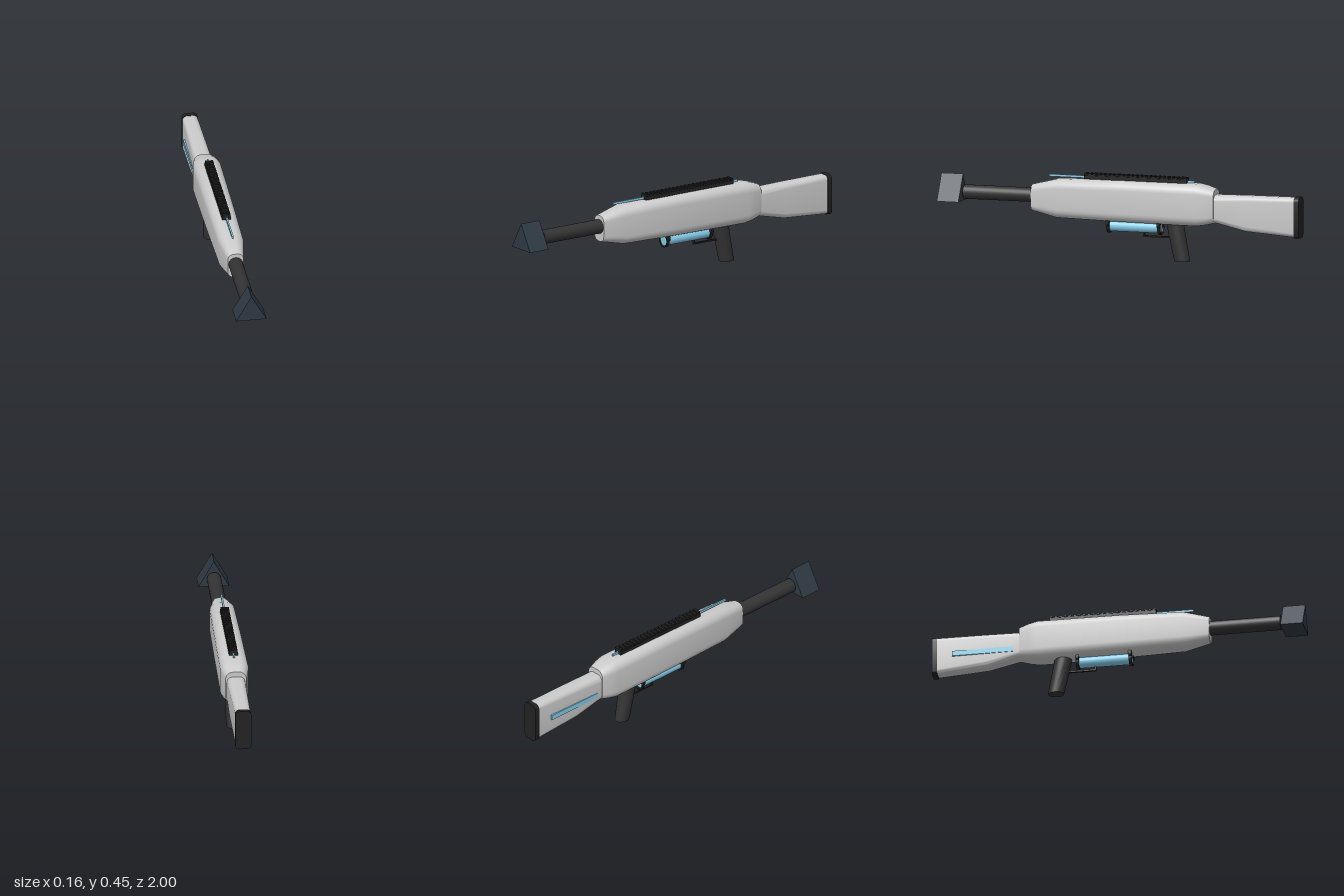
import * as THREE from 'three';
import { toCreasedNormals } from 'three/addons/utils/BufferGeometryUtils.js';

const mat = (color) => new THREE.MeshStandardMaterial({ color });

// Rounded-rectangle outline, counter-clockwise seen from the front
function outline(halfW, y0, y1, r, steps = 6) {
  const pts = [];
  const corners = [[halfW - r, y1 - r], [r - halfW, y1 - r], [r - halfW, y0 + r], [halfW - r, y0 + r]];
  corners.forEach(([cx, cy], q) => {
    for (let i = 0; i <= steps; i++) {
      const a = (q + i / steps) * Math.PI / 2;
      pts.push([cx + r * Math.cos(a), cy + r * Math.sin(a)]);
    }
  });
  return pts;
}

// Closed loft through sections [z, halfWidth, yBottom, yTop, cornerRadius], listed front to back
function loft(sections) {
  const pos = [], idx = [];
  const rings = sections.map(([z, w, y0, y1, r]) => outline(w, y0, y1, r).map(([x, y]) => [x, y, z]));
  const n = rings[0].length;
  rings.forEach((ring) => ring.forEach((p) => pos.push(...p)));
  for (let s = 0; s < rings.length - 1; s++) {
    for (let i = 0; i < n; i++) {
      const j = (i + 1) % n, a = s * n, b = a + n;
      idx.push(a + i, b + i, b + j, a + i, b + j, a + j);
    }
  }
  const addCap = (s, front) => {
    const [z, , y0, y1] = sections[s], c = pos.length / 3;
    pos.push(0, (y0 + y1) / 2, z);
    for (let i = 0; i < n; i++) {
      const a = s * n + i, b = s * n + (i + 1) % n;
      idx.push(c, front ? a : b, front ? b : a);
    }
  };
  addCap(0, true);
  addCap(sections.length - 1, false);
  const geo = new THREE.BufferGeometry();
  geo.setAttribute('position', new THREE.Float32BufferAttribute(pos, 3));
  geo.setIndex(idx);
  return toCreasedNormals(geo, 0.6);
}

export function createModel() {
  const model = new THREE.Group();
  const grey = mat(0xcccccc), dark = mat(0x333333), black = mat(0x222222);
  const blue = mat(0x87ceeb), slate = mat(0x2f3a44);

  const add = (name, geo, material, x = 0, y = 0, z = 0, parent = model) => {
    const mesh = new THREE.Mesh(geo, material);
    mesh.name = name;
    mesh.position.set(x, y, z);
    parent.add(mesh);
    return mesh;
  };
  const box = (name, w, h, d, material, x, y, z, parent) =>
    add(name, new THREE.BoxGeometry(w, h, d), material, x, y, z, parent);

  // Main housing, tapered at both ends
  add('body', loft([
    [0.49, 0.042, 0.235, 0.375, 0.032],
    [0.35, 0.067, 0.204, 0.41, 0.048],
    [0.0, 0.072, 0.197, 0.418, 0.05],
    [-0.43, 0.076, 0.194, 0.418, 0.05],
    [-0.48, 0.068, 0.202, 0.408, 0.045],
    [-0.53, 0.055, 0.214, 0.392, 0.038],
  ]), grey);

  // Shoulder stock and its butt pad
  add('stock', loft([
    [-0.5, 0.049, 0.22, 0.364, 0.03],
    [-0.55, 0.049, 0.212, 0.364, 0.03],
    [-0.7, 0.046, 0.177, 0.367, 0.028],
    [-0.975, 0.041, 0.157, 0.369, 0.024],
  ]), grey);
  add('buttPad', loft([
    [-0.973, 0.043, 0.153, 0.371, 0.024],
    [-1.0, 0.043, 0.153, 0.371, 0.024],
  ]), black);
  box('stockStrip', 0.012, 0.028, 0.33, blue, -0.045, 0.262, -0.725);

  // Barrel and triangular muzzle
  add('barrel', new THREE.CylinderGeometry(0.038, 0.038, 0.42, 32).rotateX(Math.PI / 2), dark, 0, 0.316, 0.66);
  const triangle = new THREE.Shape([0, 1, 2].map((i) => {
    const a = Math.PI / 2 + i * Math.PI * 2 / 3;
    return new THREE.Vector2(0.0945 * Math.cos(a), 0.0945 * Math.sin(a));
  }));
  add('muzzle', new THREE.ExtrudeGeometry(triangle, { depth: 0.12, bevelEnabled: false }), slate, 0, 0.316, 0.88);

  // Top rail with evenly spaced teeth over a thin rod
  box('topRod', 0.009, 0.012, 0.81, blue, 0, 0.426, -0.005);
  const rail = new THREE.Group();
  rail.name = 'topRail';
  model.add(rail);
  box('railBase', 0.046, 0.02, 0.57, black, 0, 0.427, -0.085, rail);
  box('railNeck', 0.036, 0.006, 0.57, black, 0, 0.439, -0.085, rail);
  const teeth = 23;
  for (let i = 0; i < teeth; i++) {
    box('railTooth', 0.044, 0.009, 0.014, black, 0, 0.4435, 0.193 - i * 0.556 / (teeth - 1), rail);
  }

  // Canister under the body, held by two collars
  add('canister', new THREE.CylinderGeometry(0.029, 0.029, 0.285, 32).rotateX(Math.PI / 2), blue, 0, 0.172, -0.075);
  const collar = new THREE.Shape();
  collar.moveTo(0.045, 0.038);
  collar.lineTo(-0.045, 0.038);
  collar.lineTo(-0.045, 0.012);
  collar.lineTo(-0.037, 0);
  collar.absarc(0, 0, 0.037, Math.PI, Math.PI * 2, false);
  collar.lineTo(0.045, 0.012);
  collar.holes.push(new THREE.Path().absarc(0, 0, 0.029, 0, Math.PI * 2, true));
  const collarGeo = new THREE.ExtrudeGeometry(collar, { depth: 0.016, bevelEnabled: false, curveSegments: 24 });
  for (const z of [0.056, -0.228]) add('canisterCollar', collarGeo, black, 0, 0.172, z);

  // Pistol grip, raked backwards towards the bottom
  const grip = new THREE.CylinderGeometry(1, 1, 0.23, 32, 4);
  const p = grip.attributes.position;
  for (let i = 0; i < p.count; i++) {
    const y = p.getY(i) + 0.115;
    const t = Math.min(y / 0.2, 1.1);
    p.setXYZ(i, p.getX(i) * (0.035 + 0.005 * Math.min(t * 1.6, 1)), y, p.getZ(i) * (0.043 + 0.004 * t) - 0.34 + 0.04 * t);
  }
  add('grip', toCreasedNormals(grip, 0.6), dark);

  // Trigger guard
  box('guardFront', 0.014, 0.08, 0.008, black, 0, 0.16, -0.128);
  box('guardBottom', 0.014, 0.008, 0.15, black, 0, 0.124, -0.199);

  return model;
}
